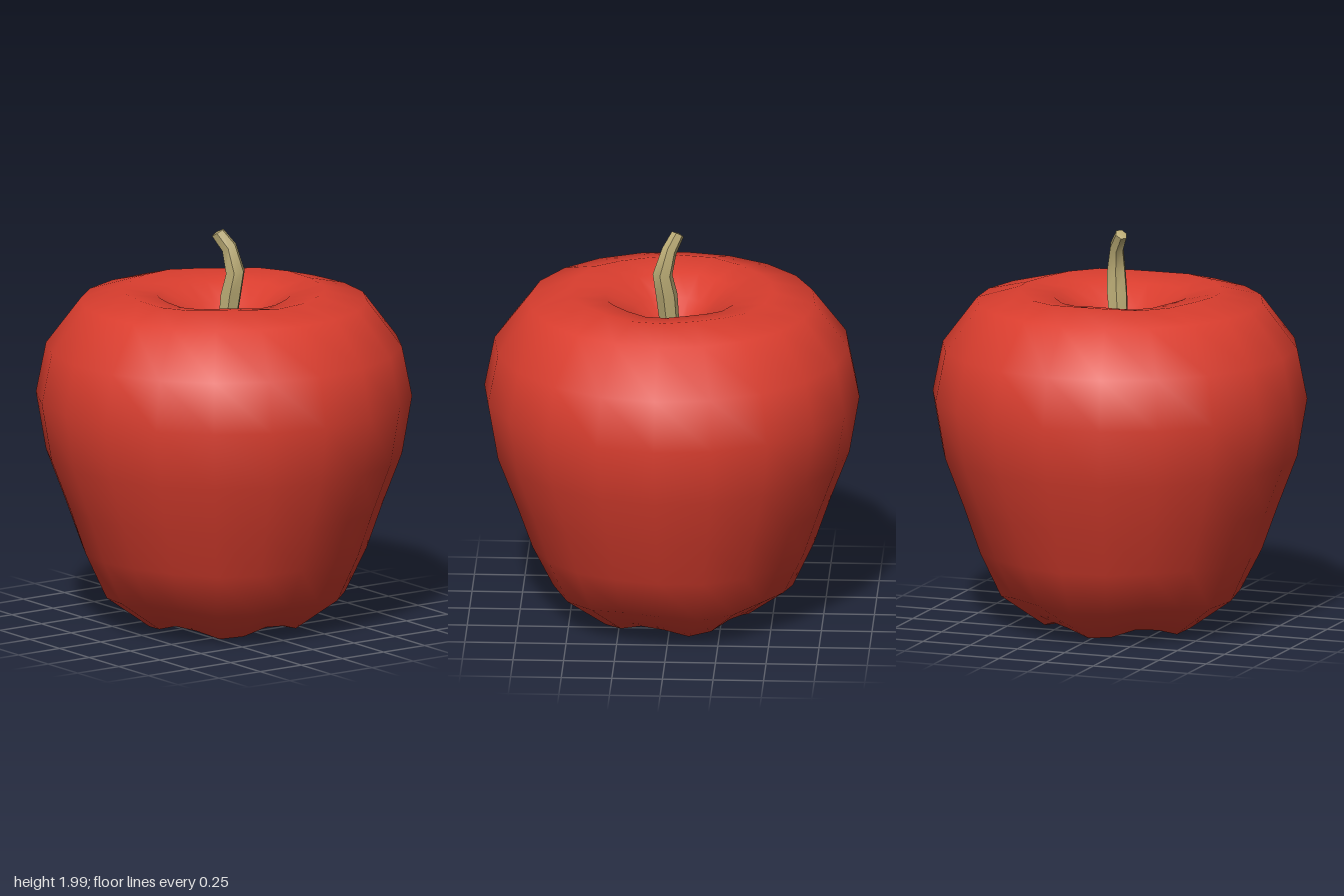
import * as THREE from 'three';
import { mergeVertices, toCreasedNormals } from 'three/addons/utils/BufferGeometryUtils.js';

const red = new THREE.MeshStandardMaterial({ color: 0xd93d2e });
red.name = 'apple red';
const tan = new THREE.MeshStandardMaterial({ color: 0xb9aa74 });
tan.name = 'stem tan';

// Lathed fruit with a hollow at each end and five soft lobes underneath
function makeBody() {
  const profile = [
    [0, 0.32], [0.1, 0.24], [0.18, 0.11], [0.26, 0.035], [0.38, 0.025],
    [0.6, 0.18], [0.705, 0.4], [0.785, 0.63], [0.88, 0.88], [0.93, 1.17],
    [0.88, 1.42], [0.71, 1.645], [0.5, 1.705], [0.33, 1.675], [0.2, 1.59],
    [0.1, 1.5], [0, 1.42],
  ].map(([r, y]) => new THREE.Vector2(r, y));
  let geo = new THREE.LatheGeometry(profile, 20, -0.05);
  const p = geo.attributes.position;
  for (let i = 0; i < p.count; i++) {
    const x = p.getX(i), y = p.getY(i), z = p.getZ(i);
    const r = Math.hypot(x, z);
    const lobe = Math.cos(5 * (Math.atan2(z, x) - 2.15));
    if (y < 0.5 && r > 0.15) {
      const w = 1 - y / 0.5;
      p.setY(i, Math.max(0, y + w * (0.012 - 0.028 * lobe)));
    } else if (y > 1.55 && r < 0.6) {
      p.setY(i, y + 0.006 * (lobe - 1));
    }
  }
  geo.deleteAttribute('uv');
  geo.deleteAttribute('normal');
  geo = mergeVertices(geo, 1e-4);
  return toCreasedNormals(geo, 0.85);
}

// Bent stem skinned from six-sided rings: [x, y, z, radius, tilt]
function makeStem() {
  const sides = 6;
  const rings = [
    [0.0, 1.4, 0.0, 0.045, 0], [0.025, 1.68, 0.025, 0.055, 0],
    [0.037, 1.79, 0.045, 0.05, 0.1], [0.022, 1.91, 0.012, 0.036, 0.4],
    [-0.018, 1.983, -0.028, 0.03, 0.45], [-0.022, 1.987, -0.033, 0, 0],
  ];
  const pos = [], index = [];
  rings.forEach(([x, y, z, r, tilt], k) => {
    for (let i = 0; i < sides; i++) {
      const a = (i / sides) * Math.PI * 2 + 0.3;
      const dx = r * Math.sin(a), dz = r * Math.cos(a);
      pos.push(x + dx, y + (dx + dz) * tilt, z + dz);
      if (k === rings.length - 1) continue;
      const j = (i + 1) % sides, a0 = k * sides, b0 = a0 + sides;
      index.push(a0 + i, a0 + j, b0 + j, a0 + i, b0 + j, b0 + i);
    }
  });
  const geo = new THREE.BufferGeometry();
  geo.setAttribute('position', new THREE.Float32BufferAttribute(pos, 3));
  geo.setIndex(index);
  return toCreasedNormals(mergeVertices(geo, 1e-4), 0.9);
}

export function createModel() {
  const group = new THREE.Group();
  group.name = 'apple';
  const body = new THREE.Mesh(makeBody(), red);
  body.name = 'fruitBody';
  const stem = new THREE.Mesh(makeStem(), tan);
  stem.name = 'stem';
  group.add(body, stem);
  return group;
}
